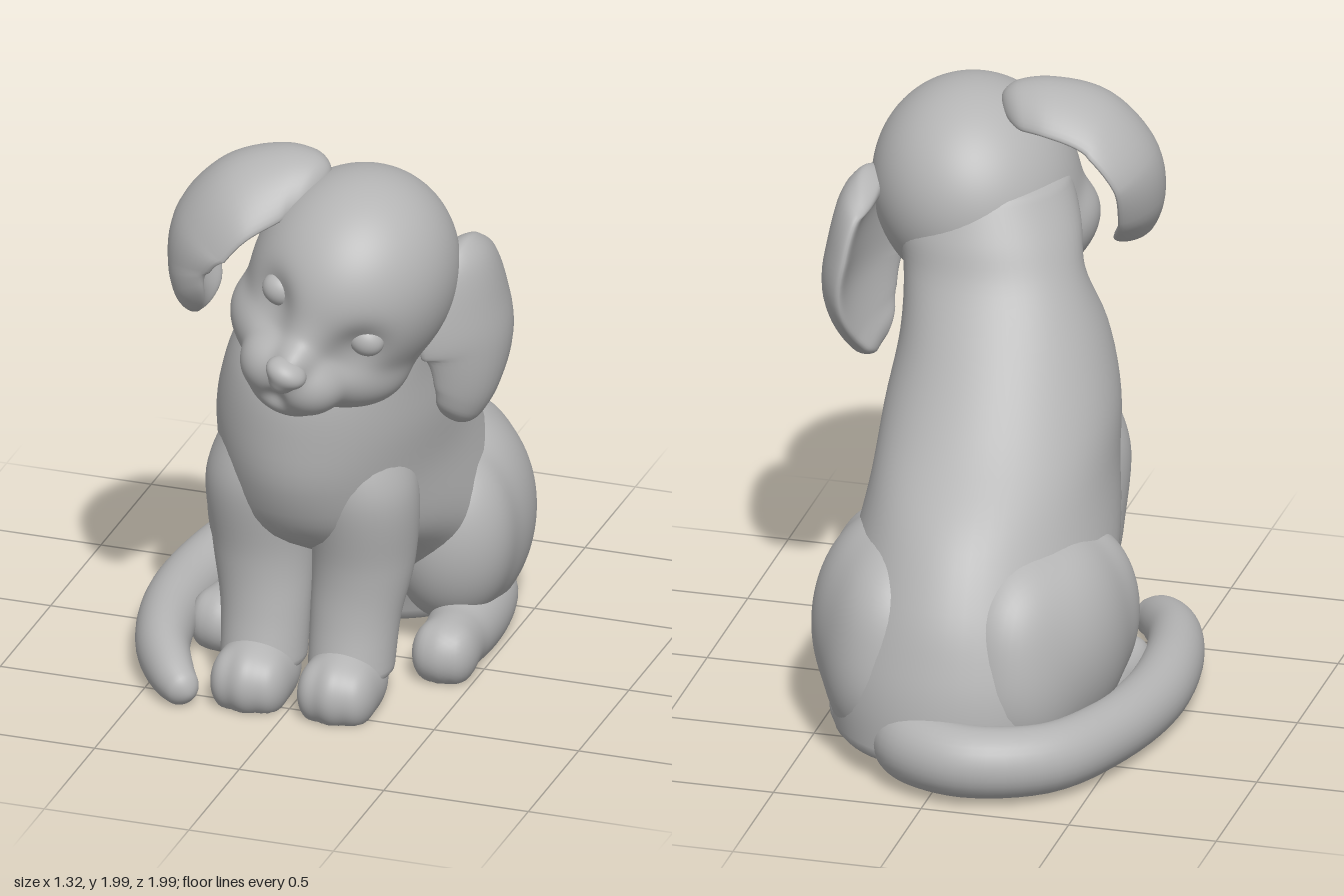
import * as THREE from 'three';
import { mergeVertices } from 'three/addons/utils/BufferGeometryUtils.js';

const fur = new THREE.MeshStandardMaterial({ color: 0xb4b4b4 });
fur.name = 'grey';
const MID = 0.015; // symmetry plane of the body

function add(parent, name, geometry) {
  const mesh = new THREE.Mesh(geometry, fur);
  mesh.name = name;
  parent.add(mesh);
}

// Flatten whatever dips below the ground
function grounded(geo) {
  const p = geo.attributes.position;
  for (let i = 0; i < p.count; i++) p.setY(i, Math.max(p.getY(i), 0.005));
  geo.computeVertexNormals();
  return geo;
}

// Smooth loft through stations [x, y, z, radiusU, radiusV] with rounded ends.
// Without a fixed v axis the rings turn with the path; curl bends the u edges along v.
function loft(stations, u, { v = null, cap = 0.06, rows = 48, cols = 40, curl = 0 } = {}) {
  const path = new THREE.CatmullRomCurve3(stations.map(s => new THREE.Vector3(s[0], s[1], s[2])), false, 'catmullrom');
  const size = new THREE.CatmullRomCurve3(stations.map(s => new THREE.Vector3(s[3], s[4], 0)), false, 'catmullrom');
  const pos = [], index = [];
  for (let i = 0; i <= rows; i++) {
    const t = 0.5 - 0.5 * Math.cos(Math.PI * i / rows);
    const c = path.getPoint(t), r = size.getPoint(t);
    const e = Math.min(1, Math.min(t, 1 - t) / cap);
    const round = Math.sqrt(Math.max(0, 1 - (1 - e) ** 2));
    let uu = u, vv = v;
    if (!v) {
      const tan = path.getTangent(t);
      vv = tan.clone().cross(u).normalize();
      uu = vv.clone().cross(tan).normalize();
    }
    for (let j = 0; j < cols; j++) {
      const a = 2 * Math.PI * j / cols, cos = Math.cos(a);
      const q = c.clone().addScaledVector(uu, r.x * round * cos)
        .addScaledVector(vv, r.y * round * Math.sin(a) + curl * r.x * round * cos * cos);
      pos.push(q.x, q.y, q.z);
      if (i < rows) {
        const k = i * cols + j, n = i * cols + (j + 1) % cols;
        index.push(k, n, k + cols, n, n + cols, k + cols);
      }
    }
  }
  let geo = new THREE.BufferGeometry();
  geo.setAttribute('position', new THREE.Float32BufferAttribute(pos, 3));
  geo.setIndex(index);
  geo = mergeVertices(geo, 1e-5);
  geo.computeVertexNormals();
  return geo;
}

// Blend ellipsoids [x, y, z, rx, ry, rz] into one skin by pushing a sphere out to
// their soft union; dents are [x, y, z, radius, depth].
function sculpt(center, blobs, { k = 0.02, detail = 16, dents = [] } = {}) {
  const field = p => {
    let sum = 0;
    for (const [x, y, z, a, b, c] of blobs) {
      const X = (p.x - x) / a, Y = (p.y - y) / b, Z = (p.z - z) / c;
      const k0 = Math.hypot(X, Y, Z), k1 = Math.hypot(X / a, Y / b, Z / c) || 1e-6;
      const d = k0 < 1e-4 ? -Math.min(a, b, c) : k0 * (k0 - 1) / k1;
      sum += Math.exp(-d / k);
    }
    let f = -k * Math.log(sum + 1e-300);
    for (const [x, y, z, r, depth] of dents) {
      f += depth * Math.exp(-((p.x - x) ** 2 + (p.y - y) ** 2 + (p.z - z) ** 2) / (r * r));
    }
    return f;
  };
  let geo = new THREE.IcosahedronGeometry(1, detail);
  geo.deleteAttribute('uv');
  geo.deleteAttribute('normal');
  geo = mergeVertices(geo, 1e-4);
  const o = new THREE.Vector3(...center), dir = new THREE.Vector3(), q = new THREE.Vector3();
  const p = geo.attributes.position;
  for (let i = 0; i < p.count; i++) {
    dir.fromBufferAttribute(p, i).normalize();
    let lo = 0, hi = 1;
    for (let n = 0; n < 22; n++) {
      const m = (lo + hi) / 2;
      if (field(q.copy(o).addScaledVector(dir, m)) < 0) lo = m; else hi = m;
    }
    q.copy(o).addScaledVector(dir, lo);
    p.setXYZ(i, q.x, q.y, q.z);
  }
  geo.computeVertexNormals();
  return geo;
}

const ball = (x, y, z, a, b, c) => new THREE.SphereGeometry(1, 32, 24).scale(a, b, c).translate(x, y, z);

export function createModel() {
  const puppy = new THREE.Group();
  puppy.name = 'sittingPuppy';
  const X = new THREE.Vector3(1, 0, 0), Y = new THREE.Vector3(0, 1, 0), Z = new THREE.Vector3(0, 0, 1);

  // Torso: level slices from inside the head down to the rump
  add(puppy, 'torso', grounded(loft([
    [0.18, 1.74, 0.44, 0.26, 0.28], [0.14, 1.55, 0.335, 0.305, 0.27],
    [0.095, 1.40, 0.25, 0.3, 0.255], [0.05, 1.20, 0.21, 0.338, 0.385],
    [0.03, 1.00, 0.115, 0.378, 0.495], [0.02, 0.80, -0.02, 0.392, 0.605],
    [0.015, 0.60, -0.15, 0.425, 0.62], [0.015, 0.42, -0.33, 0.45, 0.51],
    [0.015, 0.25, -0.44, 0.44, 0.435], [0.015, 0.02, -0.49, 0.39, 0.39],
  ], X, { v: Z, cap: 0.04, rows: 64, cols: 56 })));

  // Legs and paws, mirrored
  for (const s of [1, -1]) {
    const side = s > 0 ? 'left' : 'right';
    const at = list => list.map(([x, ...rest]) => [MID + s * x, ...rest]);
    add(puppy, side + 'FrontLeg', grounded(loft(at([
      [0.14, 1.00, 0.30, 0.13, 0.17], [0.175, 0.77, 0.315, 0.18, 0.195],
      [0.172, 0.50, 0.295, 0.17, 0.17], [0.155, 0.30, 0.33, 0.15, 0.14],
      [0.15, 0.08, 0.37, 0.14, 0.15],
    ]), X, { v: Z })));
    add(puppy, side + 'FrontPaw', grounded(sculpt([MID + s * 0.15, 0.1, 0.44], at([
      [0.15, 0.09, 0.41, 0.13, 0.14, 0.19],
      [0.08, 0.085, 0.51, 0.055, 0.095, 0.085],
      [0.15, 0.095, 0.53, 0.055, 0.1, 0.085],
      [0.22, 0.085, 0.51, 0.055, 0.095, 0.085],
    ]), { k: 0.015 })));
    // Haunch: thigh and knee running back into the rump
    add(puppy, side + 'Haunch', grounded(sculpt([MID + s * 0.28, 0.38, -0.3], at([
      [0.29, 0.385, -0.33, 0.232, 0.345, 0.34],
      [0.325, 0.41, -0.16, 0.19, 0.285, 0.17],
      [0.21, 0.30, -0.52, 0.22, 0.31, 0.28],
      [0.2, 0.45, -0.45, 0.225, 0.29, 0.32],
    ]), { k: 0.022 })));
    add(puppy, side + 'HindPaw', grounded(sculpt([MID + s * 0.375, 0.09, -0.1], at([
      [0.37, 0.085, -0.18, 0.115, 0.125, 0.36],
      [0.385, 0.095, 0.05, 0.095, 0.105, 0.13],
      [0.335, 0.095, 0.11, 0.05, 0.09, 0.075],
      [0.385, 0.1, 0.12, 0.05, 0.09, 0.075],
      [0.435, 0.095, 0.11, 0.05, 0.09, 0.075],
    ]), { k: 0.015 })));
  }

  // Tail lying on the ground, wrapped round the right side
  add(puppy, 'tail', grounded(loft([
    [0.17, 0.13, -0.62, 0.12, 0.11], [0.08, 0.14, -0.81, 0.125, 0.115],
    [-0.13, 0.14, -0.885, 0.12, 0.115], [-0.36, 0.13, -0.77, 0.115, 0.11],
    [-0.49, 0.12, -0.50, 0.11, 0.105], [-0.55, 0.11, -0.18, 0.11, 0.105],
    [-0.545, 0.11, 0.10, 0.11, 0.1], [-0.49, 0.1, 0.35, 0.105, 0.09],
    [-0.40, 0.08, 0.52, 0.085, 0.075], [-0.31, 0.05, 0.61, 0.05, 0.05],
  ], Y, { cap: 0.04, rows: 72, cols: 32 })));

  // Head, tilted to its left
  const head = new THREE.Group();
  head.name = 'head';
  head.position.set(0.2, 1.56, 0.47);
  head.rotation.z = -0.43;
  puppy.add(head);
  add(head, 'skullAndMuzzle', sculpt([0, -0.06, 0.08], [
    [0, 0.035, 0, 0.335, 0.37, 0.385],        // skull
    [0, -0.18, 0.08, 0.315, 0.19, 0.27],      // cheeks
    [0, -0.07, 0.28, 0.085, 0.12, 0.11],      // nose bridge
    [0, -0.14, 0.36, 0.065, 0.075, 0.115],
    [0.07, -0.21, 0.32, 0.11, 0.11, 0.12],    // jowls
    [-0.07, -0.21, 0.32, 0.11, 0.11, 0.12],
    [0, -0.31, 0.25, 0.12, 0.07, 0.14],       // chin
  ], {
    k: 0.02, detail: 36,
    dents: [[0.165, -0.02, 0.32, 0.085, 0.045], [-0.165, -0.02, 0.32, 0.085, 0.045], // eye sockets
      [0, -0.285, 0.43, 0.03, 0.02]],                                                // mouth
  }));
  add(head, 'nose', sculpt([0, -0.165, 0.45], [
    [0, -0.152, 0.455, 0.07, 0.045, 0.062], [0, -0.185, 0.44, 0.045, 0.05, 0.06],
  ], { k: 0.01, detail: 10 }));
  for (const s of [1, -1]) add(head, s > 0 ? 'leftEye' : 'rightEye', ball(s * 0.163, 0, 0.268, 0.062, 0.055, 0.052));

  // Floppy, cupped ears: the right one swings out, the left one hangs against the cheek
  add(puppy, 'rightEar', loft([
    [0.12, 1.92, 0.43, 0.12, 0.05], [-0.03, 1.94, 0.46, 0.2, 0.055],
    [-0.2, 1.89, 0.51, 0.25, 0.055], [-0.325, 1.75, 0.53, 0.26, 0.055],
    [-0.345, 1.59, 0.55, 0.215, 0.055], [-0.29, 1.43, 0.59, 0.12, 0.05],
  ], new THREE.Vector3(0.27, -0.12, 0.95).normalize(), { cap: 0.1, curl: -0.42 }));
  add(puppy, 'leftEar', loft([
    [0.49, 1.67, 0.29, 0.12, 0.055], [0.55, 1.60, 0.29, 0.21, 0.06],
    [0.585, 1.45, 0.28, 0.255, 0.06], [0.6, 1.31, 0.27, 0.245, 0.06],
    [0.57, 1.16, 0.29, 0.175, 0.06], [0.51, 1.04, 0.31, 0.1, 0.05],
  ], new THREE.Vector3(-0.2, 0, 0.98).normalize(), { cap: 0.1, curl: 0.35 }));

  return puppy;
}
